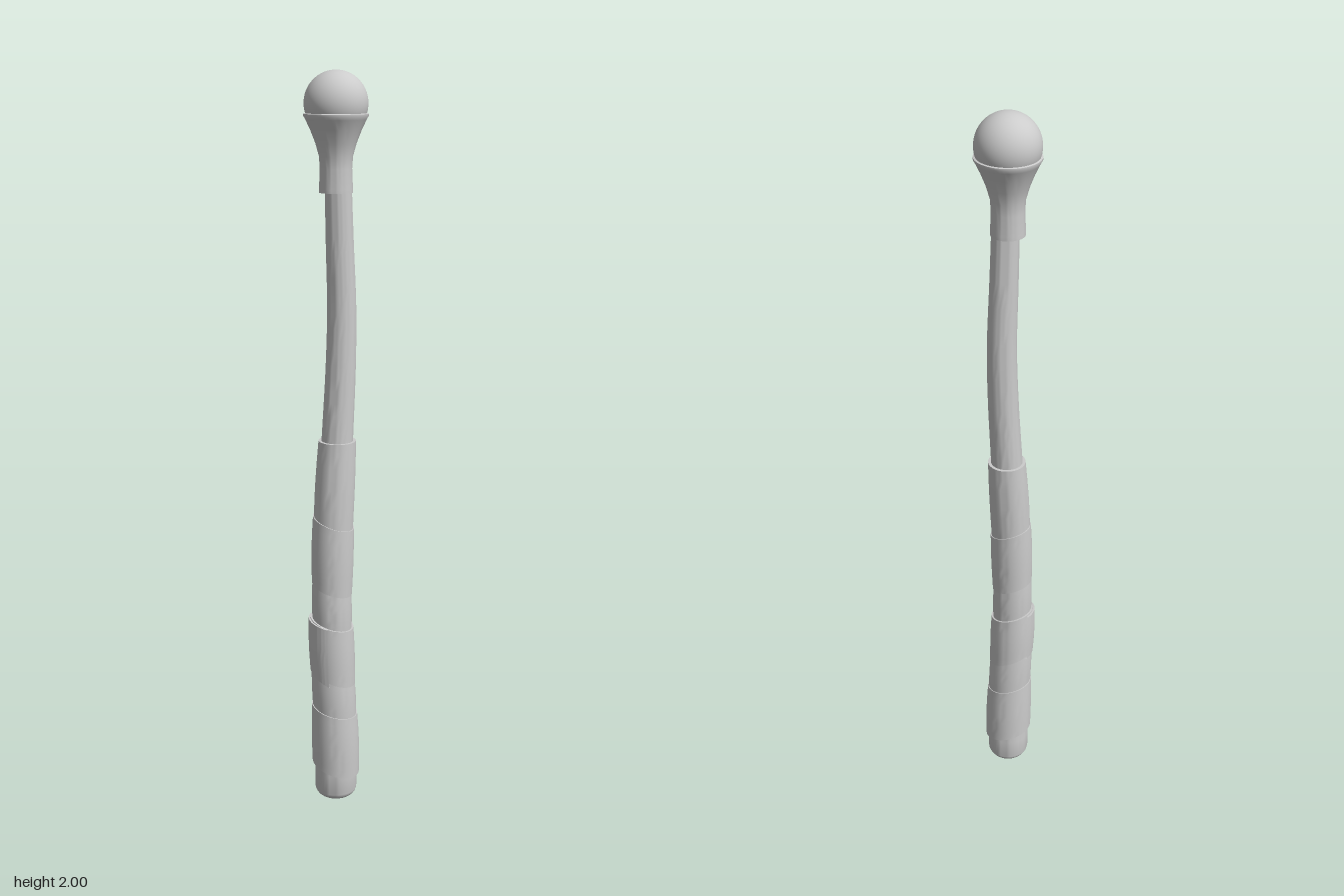
import * as THREE from 'three';
import { toCreasedNormals } from 'three/addons/utils/BufferGeometryUtils.js';

const SEGMENTS = 40;

// Centre line of the slightly crooked stick, ordered from bottom to top
const spine = new THREE.CatmullRomCurve3([
  [0, 0, 0], [-0.001, 0.2, 0.006], [-0.007, 0.42, 0.012], [-0.009, 0.6, 0.015],
  [-0.005, 0.82, 0.012], [0.004, 1.05, 0.003], [0.012, 1.25, -0.004],
  [0.014, 1.4, -0.007], [0.009, 1.58, -0.004], [0.005, 1.75, -0.001], [0, 2, 0],
].map(p => new THREE.Vector3(...p)));
const spineSamples = spine.getPoints(400);

function centreAt(y) {
  let i = spineSamples.findIndex(p => p.y >= y);
  if (i < 1) i = 1;
  const a = spineSamples[i - 1], b = spineSamples[i];
  return a.clone().lerp(b, THREE.MathUtils.clamp((y - a.y) / (b.y - a.y), 0, 1));
}

// Loft through rings [y, radius, tilt]; tilt raises the -x side of a ring.
// from/sweep limit the arc, measured from +x towards +z.
function loft(name, rings, material, from = 0, sweep = Math.PI * 2) {
  const closed = sweep > 6.28;
  const positions = [], index = [];
  for (const [y, r, tilt = 0] of rings) {
    for (let j = 0; j <= SEGMENTS; j++) {
      const a = from + (closed && j === SEGMENTS ? 0 : sweep * j / SEGMENTS);
      const h = y - tilt * (Math.cos(a) + 0.2 * Math.sin(a));
      const c = centreAt(h);
      positions.push(c.x + r * Math.cos(a), h, c.z + r * Math.sin(a));
    }
  }
  const row = SEGMENTS + 1;
  for (let i = 0; i < rings.length - 1; i++) {
    for (let j = 0; j < SEGMENTS; j++) {
      const a = i * row + j, b = a + row;
      index.push(a, b, a + 1, b, b + 1, a + 1);
    }
  }
  const geometry = new THREE.BufferGeometry();
  geometry.setAttribute('position', new THREE.Float32BufferAttribute(positions, 3));
  geometry.setIndex(index);
  const mesh = new THREE.Mesh(toCreasedNormals(geometry, 0.7), material);
  mesh.name = name;
  return mesh;
}

// Wrapped band with slanted ends that turn in towards the stick
function bandRings(y0, y1, r0, r1, tilt0, tilt1) {
  const rings = [[y0, r0 - 0.016, tilt0]];
  for (let i = 0; i <= 8; i++) {
    const t = i / 8;
    rings.push([
      THREE.MathUtils.lerp(y0, y1, t),
      THREE.MathUtils.lerp(r0, r1, t) + 0.002 * Math.sin(Math.PI * t),
      THREE.MathUtils.lerp(tilt0, tilt1, t),
    ]);
  }
  rings.push([y1, r1 - 0.016, tilt1]);
  return rings;
}

export function createModel() {
  const group = new THREE.Group();
  const material = new THREE.MeshStandardMaterial({ color: 0xcccccc });
  const thin = new THREE.MeshStandardMaterial({ color: 0xcccccc, side: THREE.DoubleSide });

  // Bare stick
  const shaftRings = [];
  for (let i = 0; i <= 24; i++) {
    const t = i / 24;
    shaftRings.push([0.96 + t * 0.79, THREE.MathUtils.lerp(0.043, 0.034, t)]);
  }
  group.add(loft('shaft', shaftRings, material));

  // Grip core with a rounded butt
  const coreRings = [[0, 0.0001], [0, 0.035]];
  for (let i = 1; i <= 6; i++) {
    const a = i / 6 * Math.PI / 2;
    coreRings.push([0.028 * (1 - Math.cos(a)), 0.035 + 0.024 * Math.sin(a)]);
  }
  for (let i = 1; i <= 20; i++) {
    coreRings.push([0.028 + i / 20 * 0.98, THREE.MathUtils.lerp(0.059, 0.045, i / 20)]);
  }
  group.add(loft('gripCore', coreRings, material));

  // Overlapping grip wraps: bottom, top, radii, slants
  [
    [0.09, 0.272, 0.066, 0.063, 0.02, 0.016],
    [0.25, 0.40, 0.060, 0.058, 0.016, 0.025],
    [0.375, 0.535, 0.060, 0.059, 0.025, 0.016],
    [0.51, 0.65, 0.053, 0.053, 0.016, 0.02],
    [0.635, 0.825, 0.055, 0.056, 0.018, 0.018],
    [0.80, 1.05, 0.053, 0.050, 0.018, 0],
  ].forEach((w, i) => group.add(loft('gripWrap' + (i + 1), bandRings(...w), material)));

  // Loose flap folded over the front of the grip
  group.add(loft('gripFlap', bandRings(0.365, 0.535, 0.063, 0.064, 0.03, 0.012),
    thin, 1.6, 2.1));

  // Flared socket under the ball
  const profile = [
    [0.03, 1.70], [0.043, 1.70], [0.043, 1.71], [0.041, 1.76], [0.043, 1.79],
    [0.052, 1.822], [0.065, 1.855], [0.077, 1.88], [0.082, 1.889], [0.082, 1.894],
    [0.072, 1.897],
  ].map(p => new THREE.Vector2(...p));
  const socket = new THREE.Mesh(
    toCreasedNormals(new THREE.LatheGeometry(profile, 48), 0.6), material);
  socket.name = 'socket';
  group.add(socket);

  // Ball on top
  const ball = new THREE.Mesh(new THREE.SphereGeometry(0.081, 48, 32), material);
  ball.name = 'ball';
  ball.position.y = 1.919;
  group.add(ball);

  return group;
}
